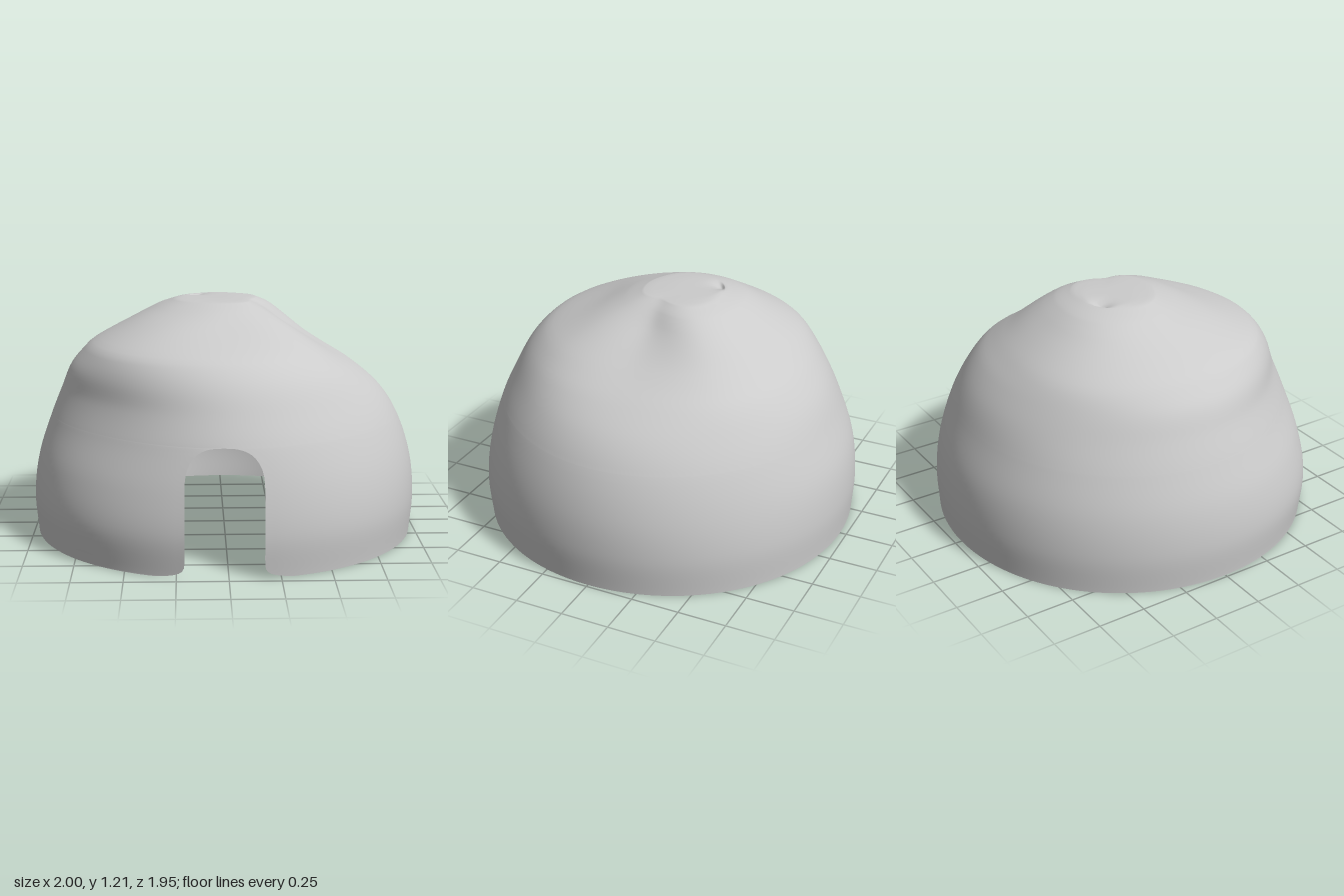
import * as THREE from 'three';
import { mergeVertices } from 'three/addons/utils/BufferGeometryUtils.js';

// Heights at which the dome radius is given
const HEIGHTS = [0, 0.2, 0.4, 0.6, 0.75, 0.87, 0.95, 1.0, 1.1, 1.17, 1.205];

// Uneven dome: one radius profile per 45 degrees, from the front round to the left
const PROFILES = [
  [0.975, 0.99, 0.965, 0.91, 0.845, 0.785, 0.72, 0.65, 0.4, 0.25, 0.15], // front
  [0.985, 1.0, 0.97, 0.9, 0.82, 0.74, 0.66, 0.59, 0.4, 0.24, 0.15],
  [0.985, 1.0, 0.98, 0.915, 0.82, 0.68, 0.54, 0.45, 0.29, 0.2, 0.13], // left, dented
  [0.98, 0.985, 0.955, 0.89, 0.81, 0.72, 0.62, 0.55, 0.42, 0.31, 0.22],
  [0.965, 0.975, 0.95, 0.88, 0.815, 0.73, 0.65, 0.59, 0.45, 0.34, 0.25], // back
  [0.98, 0.99, 0.965, 0.9, 0.835, 0.775, 0.72, 0.66, 0.5, 0.38, 0.27],
  [0.985, 1.0, 0.975, 0.91, 0.85, 0.8, 0.735, 0.68, 0.49, 0.34, 0.25], // right
  [0.985, 1.0, 0.955, 0.87, 0.81, 0.78, 0.74, 0.69, 0.47, 0.28, 0.18], // steep shoulder
];

const COLUMNS = 128;
const DOOR_TOP = 0.62;

// Smooth curve through (xs, ys)
function hermite(xs, ys, x) {
  const n = xs.length - 1;
  let i = 0;
  while (i < n - 1 && x > xs[i + 1]) i++;
  const slope = (k) => {
    const a = Math.max(k - 1, 0), b = Math.min(k + 1, n);
    return (ys[b] - ys[a]) / (xs[b] - xs[a]);
  };
  const h = xs[i + 1] - xs[i], t = (x - xs[i]) / h, t2 = t * t, t3 = t2 * t;
  return (2 * t3 - 3 * t2 + 1) * ys[i] + (t3 - 2 * t2 + t) * h * slope(i)
    + (3 * t2 - 2 * t3) * ys[i + 1] + (t3 - t2) * h * slope(i + 1);
}

// Periodic Catmull-Rom blend of the eight profiles around the dome
function radiusAt(radii, angle) {
  const s = ((angle / (Math.PI / 4)) % 8 + 8) % 8;
  const i = Math.floor(s), t = s - i;
  const [a, b, c, d] = [7, 0, 1, 2].map((k) => radii[(i + k) % 8]);
  return b + 0.5 * t * (c - a + t * (2 * a - 5 * b + 4 * c - d + t * (3 * (b - c) + d - a)));
}

// Half width of the doorway: rounded arch above, flared corners at the ground
function doorHalfWidth(y) {
  if (y >= DOOR_TOP) return 0;
  const t = Math.max(0, (y - 0.42) / 0.2);
  return 0.19 * Math.pow(1 - Math.pow(t, 2.6), 1 / 2.6) + 0.14 * Math.exp(-y / 0.014);
}

function rowHeights() {
  const ys = [0, 0.003, 0.008, 0.014, 0.022, 0.034, 0.05, 0.07];
  for (let y = 0.1; y < 0.56; y += 0.03) ys.push(y);
  ys.push(0.575, 0.588, 0.6, 0.608, 0.614, 0.618, DOOR_TOP);
  for (let y = 0.64; y < 1.16; y += 0.02) ys.push(y);
  ys.push(1.165, 1.175, 1.185, 1.193, 1.2, 1.205);
  return ys;
}

function buildDome() {
  const positions = [], indices = [];
  let ring = [];

  // Walls, each row running from one door edge round to the other
  const rows = rowHeights();
  for (const y of rows) {
    const radii = PROFILES.map((p) => hermite(HEIGHTS, p, y));
    const w = doorHalfWidth(y);
    const shift = y < DOOR_TOP ? -0.02 : -0.02 * Math.max(0, 1 - (y - DOOR_TOP) / 0.3);
    const start = Math.asin((shift + w) / radii[0]);
    const end = Math.PI * 2 + Math.asin((shift - w) / radii[0]);
    ring = [];
    for (let c = 0; c <= COLUMNS; c++) {
      const angle = start + (end - start) * c / COLUMNS;
      const r = radiusAt(radii, angle);
      ring.push([r * Math.sin(angle), r * Math.cos(angle)]);
      positions.push(r * Math.sin(angle), y, r * Math.cos(angle));
    }
  }

  // Flat cap, gathered to an off-centre, slightly sunken point
  const apex = [-0.13, -0.19], capRows = 8;
  for (let k = 1; k <= capRows; k++) {
    const t = k / capRows;
    for (const [px, pz] of ring) {
      const x = px + (apex[0] - px) * t, z = pz + (apex[1] - pz) * t;
      const d2 = (x + 0.15) ** 2 + (z + 0.2) ** 2;
      const dip = 0.022 * Math.exp(-d2 / 0.0025) * Math.min(1, t * 3);
      positions.push(x, 1.205 + 0.006 * Math.min(1, t * 3) - dip, z);
    }
  }

  const stride = COLUMNS + 1;
  for (let r = 0; r < rows.length + capRows - 1; r++) {
    for (let c = 0; c < COLUMNS; c++) {
      const a = r * stride + c, b = a + 1, d = a + stride, e = d + 1;
      indices.push(a, b, e);
      if (r < rows.length + capRows - 2) indices.push(a, e, d);
    }
  }

  const geometry = new THREE.BufferGeometry();
  geometry.setAttribute('position', new THREE.Float32BufferAttribute(positions, 3));
  geometry.setIndex(indices);
  const welded = mergeVertices(geometry, 1e-5);
  welded.computeVertexNormals();
  return welded;
}

export function createModel() {
  const group = new THREE.Group();
  group.name = 'domeHut';
  const material = new THREE.MeshStandardMaterial({ color: 0xcccccc, side: THREE.DoubleSide });
  const dome = new THREE.Mesh(buildDome(), material);
  dome.name = 'domeShell';
  group.add(dome);
  return group;
}
